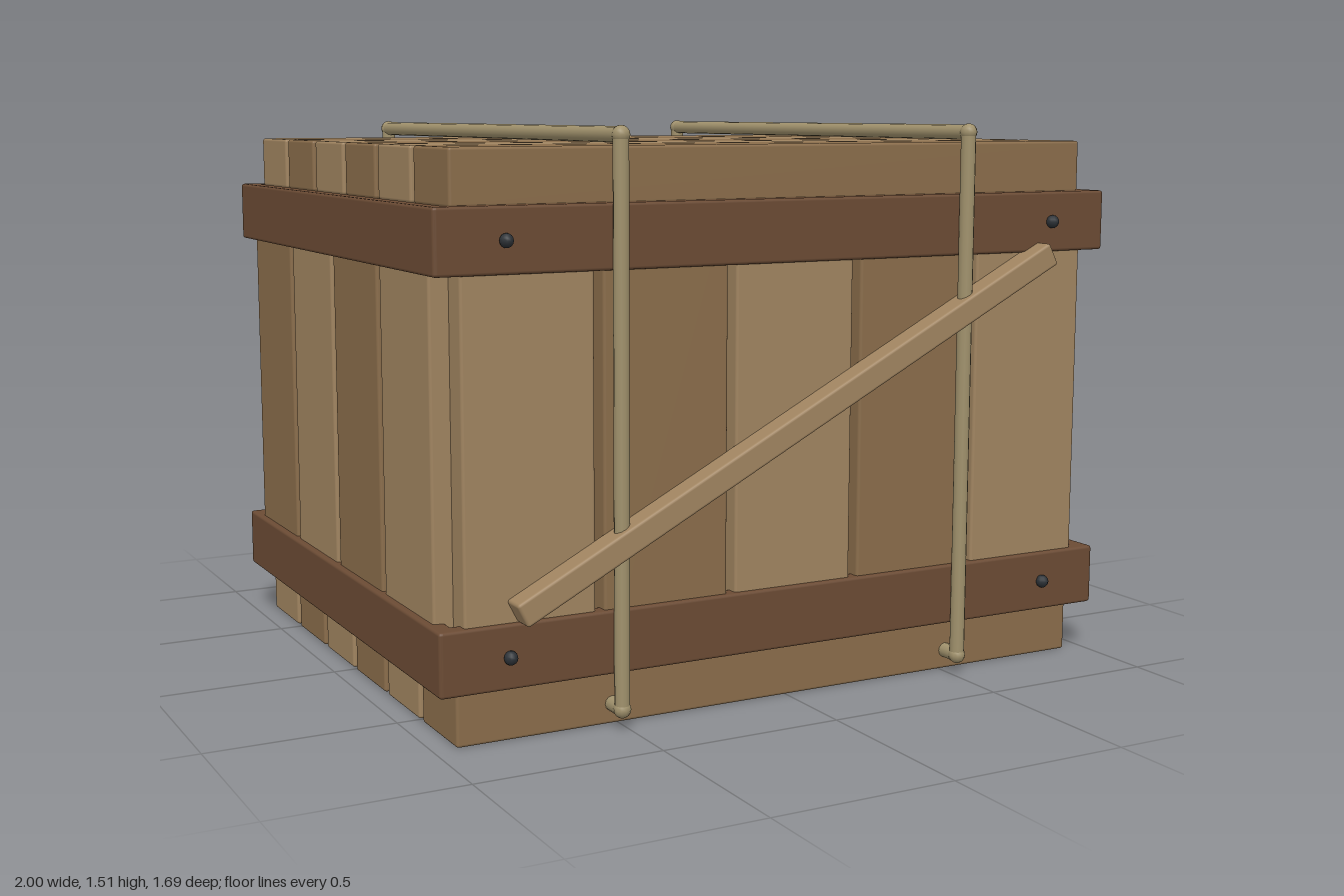
import * as THREE from 'three';
import { RoundedBoxGeometry } from 'three/addons/geometries/RoundedBoxGeometry.js';

const paint = (color) => new THREE.MeshStandardMaterial({ color });

export function createModel() {
  const model = new THREE.Group();
  model.name = 'crate';
  const lightWood = paint(0xa08460);
  const darkWood = paint(0x8a6d4b);
  const bandWood = paint(0x6b4b34);
  const ropeFibre = paint(0xa0916c);
  const iron = paint(0x2c3136);

  const add = (name, geometry, material, x, y, z) => {
    const mesh = new THREE.Mesh(geometry, material);
    mesh.name = name;
    mesh.position.set(x, y, z);
    model.add(mesh);
    return mesh;
  };
  const board = (name, w, h, d, material, x, y, z) =>
    add(name, new RoundedBoxGeometry(w, h, d, 2, 0.008), material, x, y, z);

  // Lid and floor: six planks each, running left to right
  for (let i = 0; i < 6; i++) {
    const wood = i % 2 ? darkWood : lightWood;
    const z = (i - 2.5) * 0.256;
    board('lidPlank', 1.88, 0.142, 0.232, wood, 0, 1.387, z);
    board('floorPlank', 1.88, 0.142, 0.232, wood, 0, 0.073, z);
  }

  // Upright wall planks, with narrow gaps between them
  for (const side of [-1, 1]) {
    for (let i = 0; i < 5; i++) {
      board(side > 0 ? 'frontPlank' : 'backPlank', 0.352, 1.16, 0.11,
        i % 2 ? darkWood : lightWood, (i - 2) * 0.376, 0.732, side * 0.73);
    }
    for (let i = 0; i < 4; i++) {
      board(side > 0 ? 'leftPlank' : 'rightPlank', 0.11, 1.16, 0.34,
        i % 2 ? darkWood : lightWood, side * 0.925, 0.732, (1.5 - i) * 0.363);
    }
  }

  // Two dark bands around the walls, nailed at the front and back
  for (const y of [0.226, 1.239]) {
    for (const side of [-1, 1]) {
      board('longBand', 1.99, 0.164, 0.05, bandWood, 0, y, side * 0.773);
      board('sideBand', 0.05, 0.164, 1.594, bandWood, side * 0.973, y, 0);
      for (const x of [-0.815, 0.815]) {
        add('nail', new THREE.SphereGeometry(0.018, 10, 8), iron, x, y, side * 0.804);
      }
    }
  }

  // Diagonal braces on the front and back
  for (const side of [-1, 1]) {
    const brace = board('diagonalBrace', 1.79, 0.066, 0.07, lightWood, -0.005, 0.745, side * 0.812);
    brace.rotation.z = Math.atan2(0.82, 1.59);
  }

  // Ropes: closed rectangular loops with a knob at each corner
  const top = 1.485, bottom = 0.055, reach = 0.812, radius = 0.02;
  const upright = new THREE.CylinderGeometry(radius, radius, top - bottom, 12);
  const across = new THREE.CylinderGeometry(radius, radius, reach * 2, 12).rotateX(Math.PI / 2);
  const knob = new THREE.SphereGeometry(0.023, 12, 8);
  for (const x of [-0.517, 0.517]) {
    for (const y of [bottom, top]) {
      add('ropeAcross', across, ropeFibre, x, y, 0);
      for (const side of [-1, 1]) add('ropeCorner', knob, ropeFibre, x, y, side * reach);
    }
    for (const side of [-1, 1]) {
      add('ropeUpright', upright, ropeFibre, x, (top + bottom) / 2, side * reach);
    }
  }

  return model;
}
